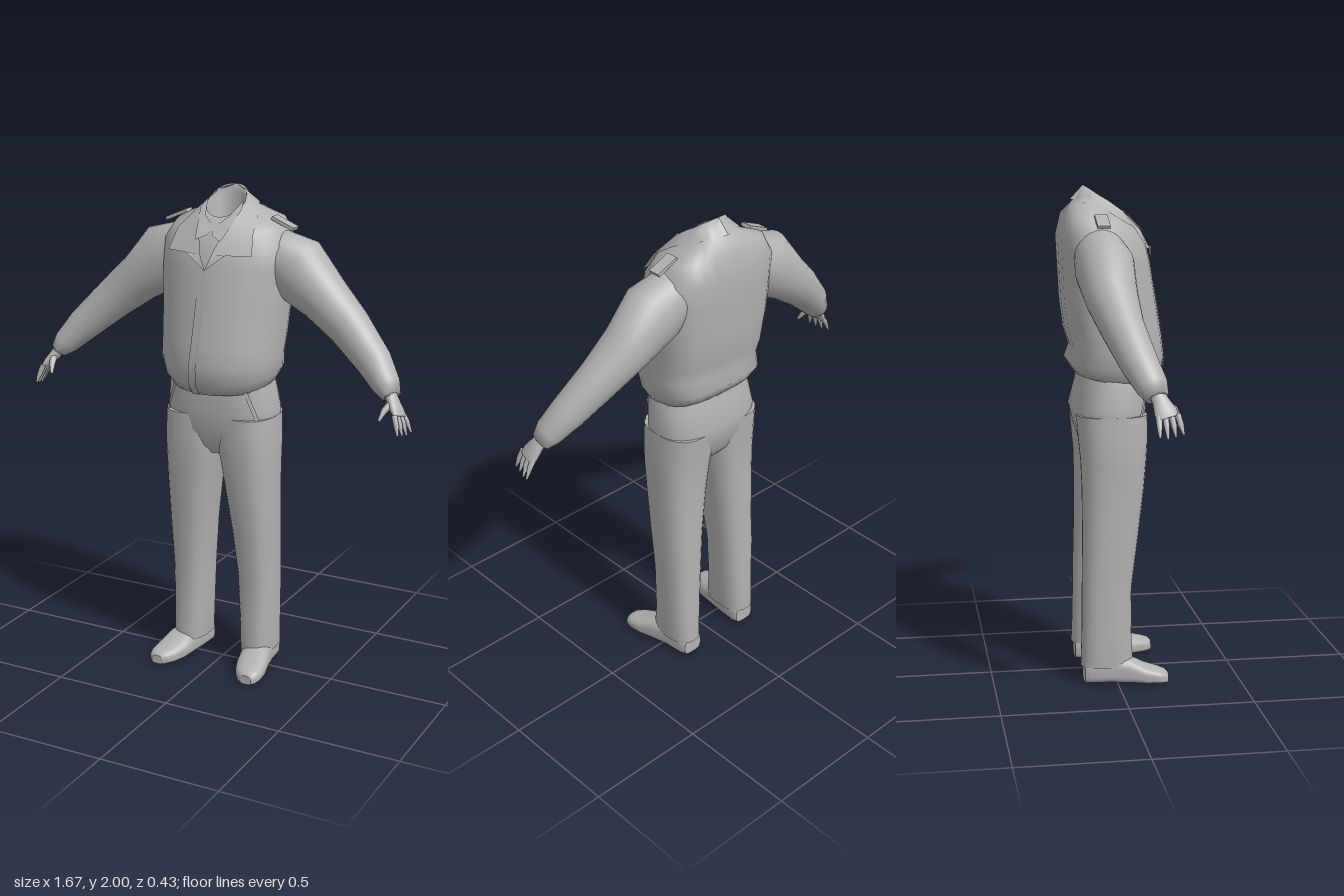
import * as THREE from 'three';

const V = (x, y, z) => new THREE.Vector3(x, y, z);
const X = V(1, 0, 0), Y = V(0, 1, 0), Z = V(0, 0, 1);
const SIDES = 28;

// Superellipse outline around c; nBack applies to the half on the +v side.
function ring(c, u, v, ru, rv, n = 2, nBack = n) {
  const pts = [];
  for (let i = 0; i < SIDES; i++) {
    const a = (i / SIDES) * Math.PI * 2, cs = Math.cos(a), sn = Math.sin(a);
    const e = 2 / (sn > 0 ? nBack : n);
    pts.push(c.clone()
      .addScaledVector(u, Math.sign(cs) * Math.abs(cs) ** e * ru)
      .addScaledVector(v, Math.sign(sn) * Math.abs(sn) ** e * rv));
  }
  return pts;
}

// Skin over rows of points; closed rows wrap around and get end caps.
function loft(rows, closed = true) {
  const n = rows[0].length, pts = rows.flat(), index = [];
  const steps = closed ? n : n - 1;
  for (let k = 0; k < rows.length - 1; k++) {
    for (let i = 0; i < steps; i++) {
      const j = (i + 1) % n, a = k * n + i, b = k * n + j;
      index.push(a, b, a + n, b, b + n, a + n);
    }
  }
  if (closed) {
    for (const last of [false, true]) {
      const row = last ? rows[rows.length - 1] : rows[0];
      const mid = row.reduce((s, p) => s.add(p), V(0, 0, 0)).divideScalar(n);
      const start = pts.length;
      pts.push(...row, mid);
      for (let i = 0; i < n; i++) {
        const a = start + i, b = start + (i + 1) % n;
        index.push(...(last ? [a, b, start + n] : [b, a, start + n]));
      }
    }
  }
  const g = new THREE.BufferGeometry().setFromPoints(pts);
  g.setIndex(index);
  g.computeVertexNormals();
  return g;
}

// Upright section between x limits, with front and back z and their heights.
function level(x0, x1, yF, yB, zF, zB, n, nBack) {
  const row = ring(V((x0 + x1) / 2, 0, (zF + zB) / 2), X, V(0, 0, -1), (x1 - x0) / 2, (zF - zB) / 2, n, nBack);
  row.forEach(p => { p.y = yB + (yF - yB) * (p.z - zB) / (zF - zB); });
  return row;
}

// Limb through centres [x, y, z, radius across, radius in depth].
function limb(list, n = 2) {
  const c = list.map(p => V(p[0], p[1], p[2]));
  return loft(list.map((p, i) => {
    const d = c[Math.min(i + 1, c.length - 1)].clone().sub(c[Math.max(i - 1, 0)]).normalize();
    const v = d.clone().cross(Z).normalize();
    const u = v.clone().cross(d);
    return ring(c[i], u, v, p[4], p[3], n);
  }));
}

const patch = rows => loft(rows.map(r => r.map(p => V(...p))), false);

export function createModel() {
  const model = new THREE.Group();
  const grey = new THREE.MeshStandardMaterial({ color: 0xb2b2b2, side: THREE.DoubleSide });
  grey.name = 'plain grey';

  function add(name, geometry) {
    const m = new THREE.Mesh(geometry, grey);
    m.name = name;
    model.add(m);
  }
  function addPair(name, g) {
    add(name + 'Left', g);
    const r = g.clone().scale(-1, 1, 1), ix = r.index.array;
    for (let i = 0; i < ix.length; i += 3) [ix[i], ix[i + 1]] = [ix[i + 1], ix[i]];
    r.computeVertexNormals();
    add(name + 'Right', r);
  }

  // Jacket body: front height, back height, half width, front z, back z
  add('jacket', loft([
    [1.24, 1.29, 0.19, 0.13, -0.12],
    [1.20, 1.26, 0.212, 0.165, -0.15],
    [1.25, 1.31, 0.238, 0.205, -0.182],
    [1.32, 1.36, 0.246, 0.215, -0.162],
    [1.40, 1.43, 0.25, 0.205, -0.185],
    [1.55, 1.55, 0.258, 0.18, -0.2],
    [1.70, 1.70, 0.268, 0.155, -0.207],
    [1.78, 1.80, 0.268, 0.135, -0.212],
    [1.83, 1.89, 0.225, 0.105, -0.193],
    [1.86, 1.93, 0.145, 0.08, -0.162],
    [1.875, 1.96, 0.1, 0.06, -0.135],
    [1.89, 2.0, 0.08, 0.05, -0.11],
    [1.87, 1.97, 0.072, 0.042, -0.1],
    [1.78, 1.86, 0.06, 0.03, -0.09],
  ].map(([yF, yB, w, zF, zB], i) => level(-w, w, yF, yB, zF, zB, 2, i < 9 ? 3.2 : 2.2))));

  // Front placket following the belly
  add('placket', patch([
    [0, 1.70, 0.158], [-0.005, 1.55, 0.185], [-0.012, 1.40, 0.21],
    [-0.018, 1.32, 0.22], [-0.022, 1.25, 0.21], [-0.025, 1.20, 0.172],
  ].map(([x, y, z]) => [[x - 0.025, y, z - 0.002], [x + 0.008, y, z]])));

  // Turned-down collar and lapel
  addPair('lapel', patch([
    [[0, 2.0, -0.11], [0, 1.945, -0.162]],
    [[0.06, 1.98, -0.085], [0.1, 1.935, -0.12]],
    [[0.083, 1.945, -0.025], [0.14, 1.895, -0.02]],
    [[0.075, 1.9, 0.04], [0.165, 1.84, 0.07]],
    [[0.045, 1.82, 0.118], [0.182, 1.76, 0.118]],
    [[0.025, 1.76, 0.15], [0.085, 1.762, 0.152]],
    [[0, 1.70, 0.162], [0.004, 1.70, 0.163]],
  ]));

  // Shirt collar points inside the lapels
  addPair('shirtCollar', patch([
    [[0.078, 1.95, -0.02], [0.09, 1.92, 0.02]],
    [[0.05, 1.895, 0.055], [0.055, 1.81, 0.135]],
    [[0, 1.855, 0.082], [0.01, 1.83, 0.118]],
  ]));

  // Shoulder straps
  addPair('shoulderStrap', new THREE.BoxGeometry(0.1, 0.014, 0.05)
    .rotateZ(-0.4).translate(0.235, 1.868, -0.065));

  // Sleeves
  addPair('sleeve', limb([
    [0.19, 1.75, -0.07, 0.1, 0.1],
    [0.29, 1.695, -0.065, 0.135, 0.115],
    [0.415, 1.59, -0.055, 0.101, 0.1],
    [0.53, 1.495, -0.033, 0.086, 0.082],
    [0.655, 1.378, 0.01, 0.07, 0.07],
    [0.72, 1.305, 0.045, 0.054, 0.06],
    [0.748, 1.27, 0.06, 0.036, 0.044],
    [0.745, 1.274, 0.06, 0.028, 0.036],
  ]));

  // Hands
  addPair('palm', limb([
    [0.738, 1.285, 0.058, 0.022, 0.028],
    [0.758, 1.255, 0.07, 0.022, 0.032],
    [0.782, 1.222, 0.082, 0.019, 0.043],
    [0.797, 1.2, 0.09, 0.012, 0.041],
  ]));
  for (let i = 0; i < 4; i++) {
    const z = 0.056 + 0.023 * i, t = 0.055 + 0.03 * i;
    addPair('finger' + (i + 1), limb([
      [0.787, 1.215, z, 0.011, 0.012],
      [0.812 - 0.004 * i, 1.178, (z + t) / 2, 0.01, 0.011],
      [0.831 - 0.007 * i, 1.13 + 0.006 * Math.abs(i - 1), t, 0.004, 0.004],
    ]));
  }
  addPair('thumb', limb([
    [0.758, 1.25, 0.085, 0.014, 0.016],
    [0.744, 1.225, 0.122, 0.012, 0.013],
    [0.733, 1.19, 0.145, 0.005, 0.006],
  ]));

  // Trousers: seat, then legs from height, inner x, outer x, front z, back z
  add('trouserSeat', loft([
    [0.93, 0.09, 0.07, -0.09],
    [0.97, 0.16, 0.105, -0.125],
    [1.04, 0.236, 0.13, -0.15],
    [1.12, 0.234, 0.137, -0.168],
    [1.22, 0.222, 0.14, -0.142],
    [1.30, 0.2, 0.13, -0.13],
  ].map(([y, w, zF, zB]) => level(-w, w, y, y, zF, zB, 2.5))));
  addPair('trouserLeg', loft([
    [0.075, 0.095, 0.222, 0.06, -0.138],
    [0.07, 0.088, 0.228, 0.07, -0.145],
    [0.2, 0.082, 0.229, 0.062, -0.14],
    [0.4, 0.072, 0.232, 0.064, -0.138],
    [0.6, 0.054, 0.234, 0.09, -0.134],
    [0.8, 0.028, 0.236, 0.115, -0.134],
    [0.92, 0.008, 0.239, 0.126, -0.138],
    [1.0, -0.005, 0.24, 0.131, -0.146],
    [1.1, 0, 0.235, 0.13, -0.155],
  ].map(([y, a, b, zF, zB]) => level(a, b, y, y, zF, zB, 2.5))));

  // Slanted pocket welts
  addPair('pocketWelt', patch([
    [[0.145, 1.23, 0.122], [0.16, 1.23, 0.116]],
    [[0.18, 1.14, 0.11], [0.194, 1.14, 0.1]],
    [[0.208, 1.05, 0.088], [0.219, 1.05, 0.076]],
  ]));

  // Shoes: z, centre x, half width, top height
  addPair('shoe', loft([
    [-0.132, 0.155, 0.045, 0.09],
    [-0.11, 0.156, 0.058, 0.11],
    [-0.03, 0.162, 0.06, 0.12],
    [0.05, 0.175, 0.064, 0.105],
    [0.11, 0.187, 0.067, 0.075],
    [0.165, 0.199, 0.058, 0.06],
    [0.195, 0.206, 0.042, 0.05],
    [0.206, 0.208, 0.025, 0.038],
  ].map(([z, x, w, h]) => ring(V(x, h / 2, z), X, Y, w, h / 2, 4, 2.3))));

  return model;
}
